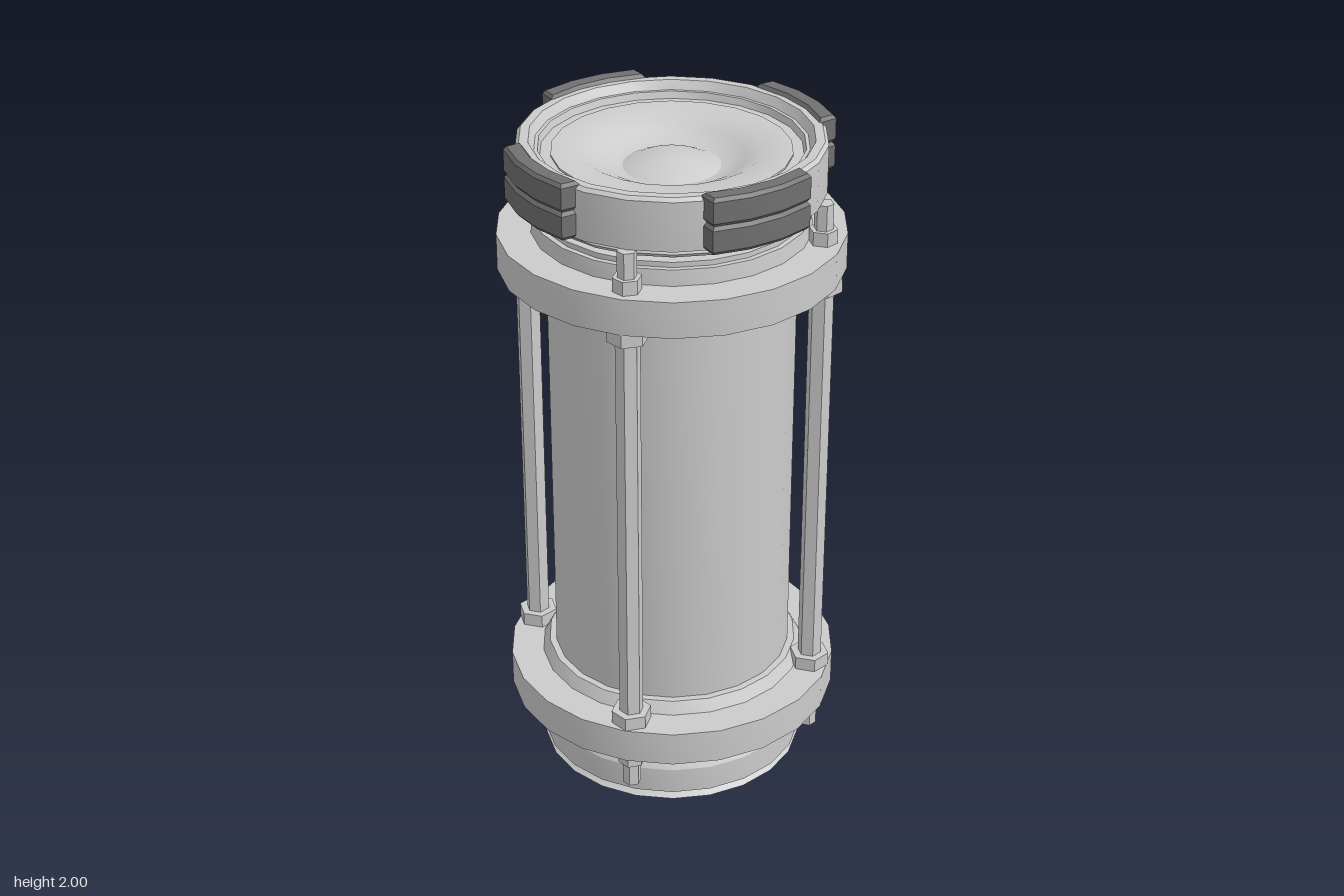
import * as THREE from 'three';
import { toCreasedNormals } from 'three/addons/utils/BufferGeometryUtils.js';

const SIDES = 22;
const grey = new THREE.MeshStandardMaterial({ color: 0xcccccc });
const dark = new THREE.MeshStandardMaterial({ color: 0x707070 });

function mesh(name, geometry, material = grey) {
  const m = new THREE.Mesh(geometry, material);
  m.name = name;
  return m;
}

// Turned part from [radius, height] points listed bottom to top
function turned(name, points) {
  const profile = points.map(([r, y]) => new THREE.Vector2(r, y));
  return mesh(name, toCreasedNormals(new THREE.LatheGeometry(profile, SIDES), 0.5));
}

// Dished end face with a central dome: radius and depth below the end plane
const dish = [
  [0, 0.02], [0.05, 0.023], [0.1, 0.035], [0.135, 0.05],
  [0.16, 0.046], [0.2, 0.024], [0.25, 0],
];

function hexPrism(name, radius, y0, y1) {
  const geo = new THREE.CylinderGeometry(radius, radius, y1 - y0, 6);
  geo.translate(0, (y0 + y1) / 2, 0);
  return mesh(name, toCreasedNormals(geo, 0.5));
}

// Curved pad spanning an arc, lying flat and extruded upwards
function pad(name, y0, y1) {
  const bevel = 0.01, shape = new THREE.Shape(), steps = 3;
  const arc = (r, half, dir) => {
    for (let i = 0; i <= steps; i++) {
      const a = dir * half * (2 * i / steps - 1);
      const x = r * Math.cos(a), y = r * Math.sin(a);
      if (i === 0 && dir > 0) shape.moveTo(x, y);
      else shape.lineTo(x, y);
    }
  };
  arc(0.453, 0.325, 1);
  arc(0.415, 0.36, -1);
  shape.closePath();
  const geo = new THREE.ExtrudeGeometry(shape, {
    depth: y1 - y0 - 2 * bevel, bevelThickness: bevel, bevelSize: 0.008, bevelSegments: 1,
  });
  geo.rotateX(-Math.PI / 2);
  geo.translate(0, y0 + bevel, 0);
  return mesh(name, toCreasedNormals(geo, 0.4), dark);
}

export function createModel() {
  const model = new THREE.Group();
  model.name = 'canister';

  // Main tube
  model.add(turned('tube', [[0.35, 0.33], [0.35, 1.63]]));

  // Flanges with stepped collars
  model.add(turned('lowerFlange', [
    [0.3, 0.19], [0.385, 0.19], [0.39, 0.235], [0.485, 0.235], [0.485, 0.34],
    [0.39, 0.34], [0.37, 0.375], [0.345, 0.375],
  ]));
  model.add(turned('upperFlange', [
    [0.345, 1.585], [0.37, 1.585], [0.39, 1.62], [0.485, 1.62], [0.485, 1.725],
    [0.39, 1.725], [0.385, 1.77], [0.3, 1.77],
  ]));

  // Bottom cap with grooves and dished face
  model.add(turned('bottomCap', [
    ...dish.map(([r, d]) => [r, d]),
    [0.25, 0.012], [0.36, 0.014], [0.388, 0.034], [0.375, 0.042], [0.365, 0.058], [0.39, 0.06],
    [0.39, 0.14], [0.375, 0.165], [0.34, 0.165], [0.34, 0.2], [0, 0.2],
  ]));

  // Top cap, set inside the locking ring
  model.add(turned('topCap', [
    [0.3, 1.76], [0.37, 1.77], [0.37, 1.785], [0.34, 1.785], [0.34, 1.8],
    [0.375, 1.802], [0.388, 1.815], [0.38, 1.83], [0.36, 1.85], [0.36, 1.945], [0.33, 1.945],
    [0.33, 1.95], [0.25, 1.95],
    ...dish.slice(0, -1).reverse().map(([r, d]) => [r, 1.95 - d]),
  ]));
  model.add(turned('lockingRing', [
    [0.35, 1.84], [0.425, 1.84], [0.425, 1.98], [0.415, 1.99], [0.39, 1.99],
    [0.375, 1.965], [0.365, 1.965], [0.355, 1.93],
  ]));

  for (let k = 0; k < 4; k++) {
    // Tie rod with nuts on both faces of each flange
    const bolt = new THREE.Group();
    bolt.name = 'tieRod';
    bolt.add(
      hexPrism('rod', 0.035, 0.3, 1.65),
      hexPrism('lowerTip', 0.027, 0.12, 0.3),
      hexPrism('upperTip', 0.027, 1.65, 1.84),
      hexPrism('lowerInnerNut', 0.058, 0.34, 0.38),
      hexPrism('upperInnerNut', 0.058, 1.58, 1.62),
      hexPrism('lowerOuterNut', 0.04, 0.195, 0.235),
      hexPrism('upperOuterNut', 0.04, 1.725, 1.765),
    );
    for (const part of bolt.children) part.position.z = 0.426;
    bolt.rotation.y = k * Math.PI / 2;
    model.add(bolt);

    // Two stacked grip pads on the ring
    const grip = new THREE.Group();
    grip.name = 'gripPad';
    grip.add(pad('lowerPad', 1.84, 1.92), pad('upperPad', 1.92, 2.0));
    grip.rotation.y = THREE.MathUtils.degToRad(48.4 + 90 * k);
    model.add(grip);
  }
  return model;
}
